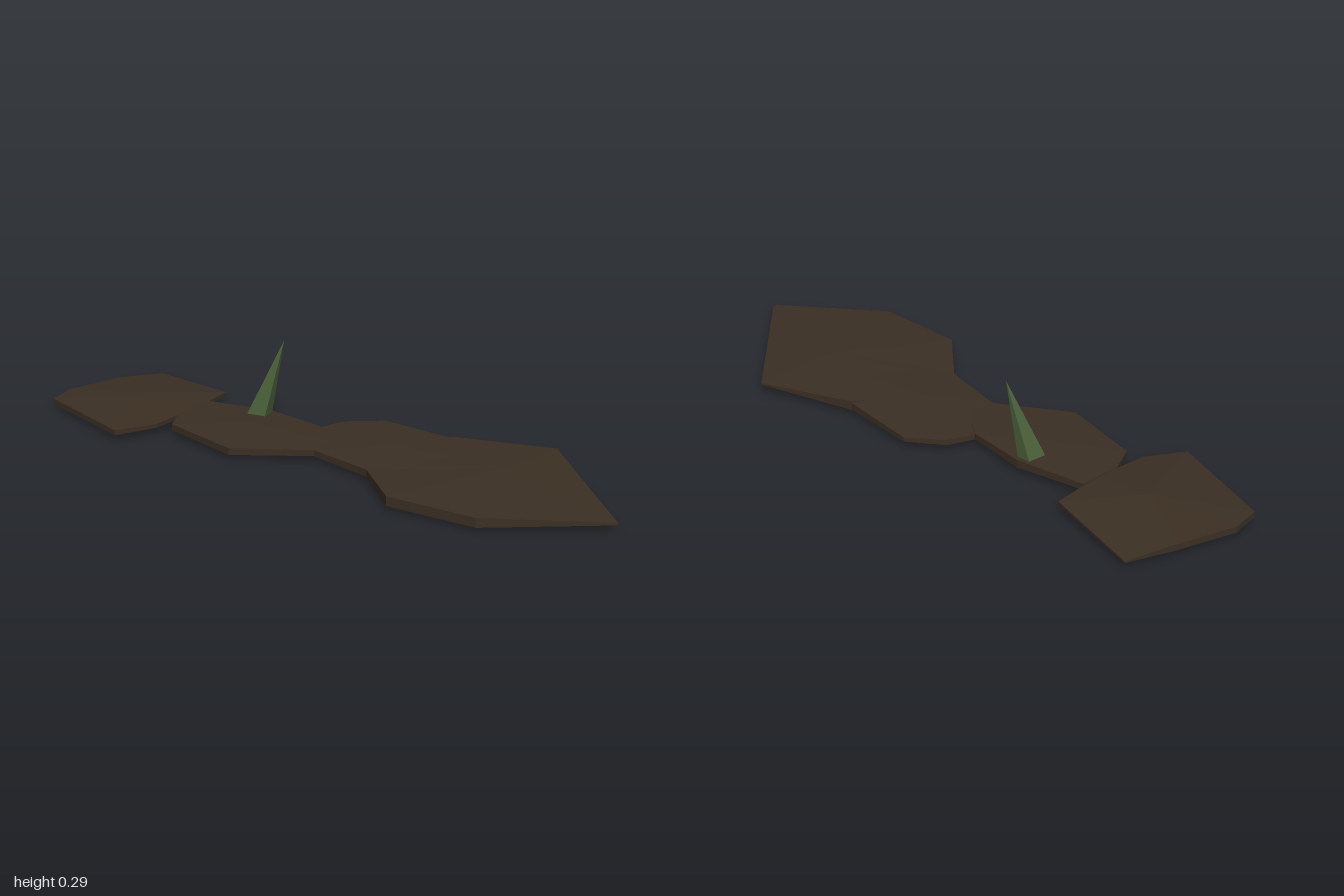
import * as THREE from 'three';

const soil = new THREE.MeshStandardMaterial({ color: 0x3b2f23, flatShading: true });
soil.name = 'dark soil';
const leaf = new THREE.MeshStandardMaterial({ color: 0x4a6039, flatShading: true });
leaf.name = 'leaf green';

// Triangle fan from an apex over a loop of points, flipped for undersides
function fan(out, apex, loop, flip) {
  loop.forEach((p, i) => {
    const q = loop[(i + 1) % loop.length];
    out.push(...apex, ...(flip ? q : p), ...(flip ? p : q));
  });
}

function meshFrom(name, positions, material) {
  const geometry = new THREE.BufferGeometry();
  geometry.setAttribute('position', new THREE.Float32BufferAttribute(positions, 3));
  geometry.computeVertexNormals();
  const mesh = new THREE.Mesh(geometry, material);
  mesh.name = name;
  return mesh;
}

// Flat slab: rim rows are [x, z, top y, bottom y], clockwise seen from above,
// rising to a low peak on top and sinking to a low point underneath
function slab(name, [cx, cz, peak, base], rim) {
  const top = rim.map(([x, z, t]) => [x, t, z]).reverse();
  const bottom = rim.map(([x, z, , b]) => [x, b, z]).reverse();
  const out = [];
  fan(out, [cx, peak, cz], top, false);
  fan(out, [cx, base, cz], bottom, true);
  top.forEach((p, i) => {
    const j = (i + 1) % top.length;
    out.push(...p, ...bottom[i], ...top[j], ...top[j], ...bottom[i], ...bottom[j]);
  });
  return meshFrom(name, out, soil);
}

export function createModel() {
  const group = new THREE.Group();
  group.name = 'soilPatch';

  group.add(slab('rightEndSlab', [-0.73, -0.05, 0.055, 0.008], [
    [-0.86, -0.33, 0.018, 0.013], [-0.54, -0.23, 0.036, 0.025], [-0.54, -0.05, 0.038, 0.022],
    [-0.565, 0.13, 0.035, 0.022], [-0.645, 0.245, 0.035, 0.018], [-0.99, 0.1, 0.034, 0.015],
    [-1, 0, 0.035, 0.015], [-0.93, -0.18, 0.035, 0.014],
  ]));
  group.add(slab('middleSlab', [-0.3, 0, 0.05, 0.014], [
    [-0.54, -0.115, 0.042, 0.022], [-0.31, -0.14, 0.043, 0.018], [-0.11, -0.1, 0.04, 0.02],
    [0.02, 0, 0.038, 0.018], [-0.02, 0.085, 0.036, 0.017], [-0.25, 0.205, 0.038, 0.016],
    [-0.515, 0.12, 0.04, 0.02], [-0.55, 0.03, 0.04, 0.022],
  ]));
  group.add(slab('innerLeftSlab', [0.2, -0.05, 0.052, 0.01], [
    [-0.115, -0.08, 0.036, 0.018], [-0.07, -0.18, 0.037, 0.019], [0.04, -0.255, 0.036, 0.022],
    [0.3, -0.21, 0.04, 0.015], [0.45, -0.05, 0.045, 0.015], [0.4, 0.1, 0.04, 0.015],
    [0.2, 0.15, 0.036, 0.014], [0.16, 0.135, 0.036, 0.014], [-0.02, 0.085, 0.036, 0.016],
  ]));
  group.add(slab('leftEndSlab', [0.57, -0.04, 0.055, 0], [
    [0.3, -0.21, 0.045, 0.015], [0.61, -0.3, 0.036, 0.03], [0.995, 0.125, 0.025, 0.018],
    [0.65, 0.325, 0.04, 0.01], [0.355, 0.31, 0.04, 0.01], [0.2, 0.15, 0.037, 0.014],
    [0.16, 0.13, 0.037, 0.014], [0.18, 0.0, 0.04, 0.014],
  ]));

  // Leaning pointed shoot, counter-clockwise base seen from above
  const foot = [[-0.36, 0.035, -0.064], [-0.295, 0.035, -0.07], [-0.3, 0.035, -0.124], [-0.345, 0.035, -0.124]];
  const blade = [];
  fan(blade, [-0.257, 0.287, -0.133], foot, false);
  fan(blade, [-0.325, 0.035, -0.095], foot, true);
  group.add(meshFrom('shoot', blade, leaf));

  return group;
}
